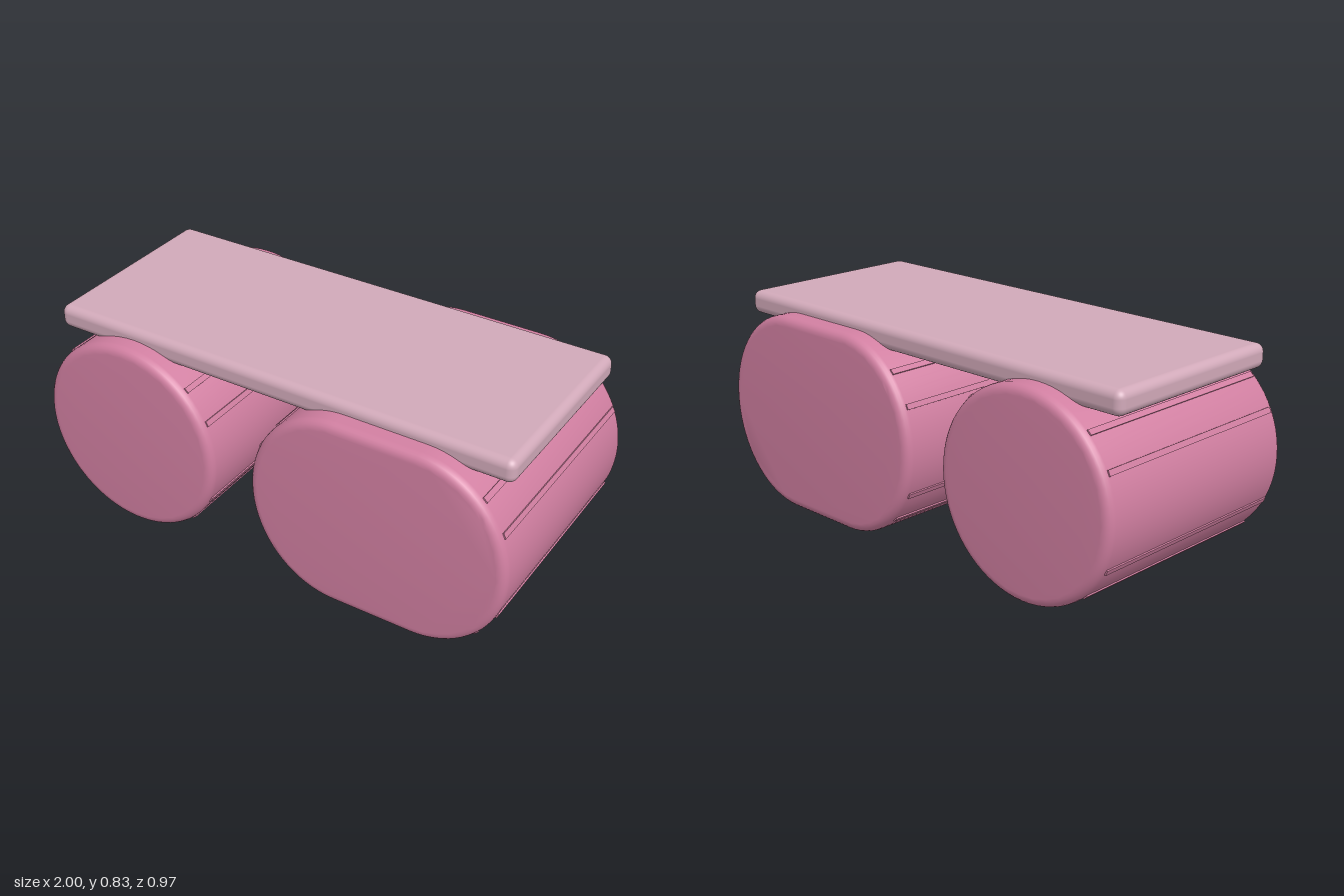
import * as THREE from 'three';
import { toCreasedNormals } from 'three/addons/utils/BufferGeometryUtils.js';
import { RoundedBoxGeometry } from 'three/addons/geometries/RoundedBoxGeometry.js';

const rose = new THREE.MeshStandardMaterial({ color: 0xd17fa1 });
rose.name = 'rose';
const palePink = new THREE.MeshStandardMaterial({ color: 0xd1a9b9 });
palePink.name = 'pale pink';

const LENGTH = 0.966, BEVEL = 0.035, CENTER_Y = 0.397, RY = 0.394;

// Horizontal drum: two half ellipses joined by a flat run, with softened ends
function makeDrum(name, x, rx, halfFlat) {
  const group = new THREE.Group();
  group.name = name;
  group.position.set(x, CENTER_Y, 0);

  const points = [];
  const steps = 36;
  for (const side of [1, -1]) {
    for (let i = 0; i <= steps; i++) {
      if (halfFlat === 0 && i === steps) continue;
      const a = -side * Math.PI / 2 + side * Math.PI * i / steps;
      const t = side > 0 ? a : a + Math.PI;
      points.push(new THREE.Vector2(
        side * halfFlat + Math.cos(side > 0 ? t : Math.PI / 2 + Math.PI * i / steps) * (rx - BEVEL),
        Math.sin(side > 0 ? t : Math.PI / 2 + Math.PI * i / steps) * (RY - BEVEL)));
    }
  }
  const geometry = new THREE.ExtrudeGeometry(new THREE.Shape(points), {
    depth: LENGTH - 2 * BEVEL, bevelEnabled: true, bevelSize: BEVEL,
    bevelThickness: BEVEL, bevelSegments: 5, steps: 1,
  });
  geometry.translate(0, 0, -LENGTH / 2 + BEVEL);
  const body = new THREE.Mesh(toCreasedNormals(geometry, 0.6), rose);
  body.name = name + 'Body';
  group.add(body);

  // Fine raised seams running along the drum
  const seamGeometry = new THREE.BoxGeometry(0.014, 0.022, LENGTH - 2 * BEVEL);
  for (const sx of [1, -1]) {
    for (const sy of [1, -1]) {
      for (const degrees of [26, 47]) {
        const a = THREE.MathUtils.degToRad(degrees);
        const seam = new THREE.Mesh(seamGeometry, rose);
        seam.name = 'seam';
        seam.position.set(sx * (halfFlat + Math.cos(a) * (rx - 0.002)), sy * Math.sin(a) * (RY - 0.002), 0);
        seam.rotation.z = sx * sy * a;
        group.add(seam);
      }
    }
  }
  return group;
}

export function createModel() {
  const model = new THREE.Group();
  model.name = 'drumBench';
  model.add(makeDrum('roundDrum', -0.607, 0.393, 0));
  model.add(makeDrum('longDrum', 0.476, 0.359, 0.163));

  // Flat slab resting across both drums
  const slab = new THREE.Mesh(new RoundedBoxGeometry(1.925, 0.093, 0.804, 5, 0.032), palePink);
  slab.name = 'topSlab';
  slab.position.set(-0.002, 0.785, 0);
  model.add(slab);
  return model;
}
